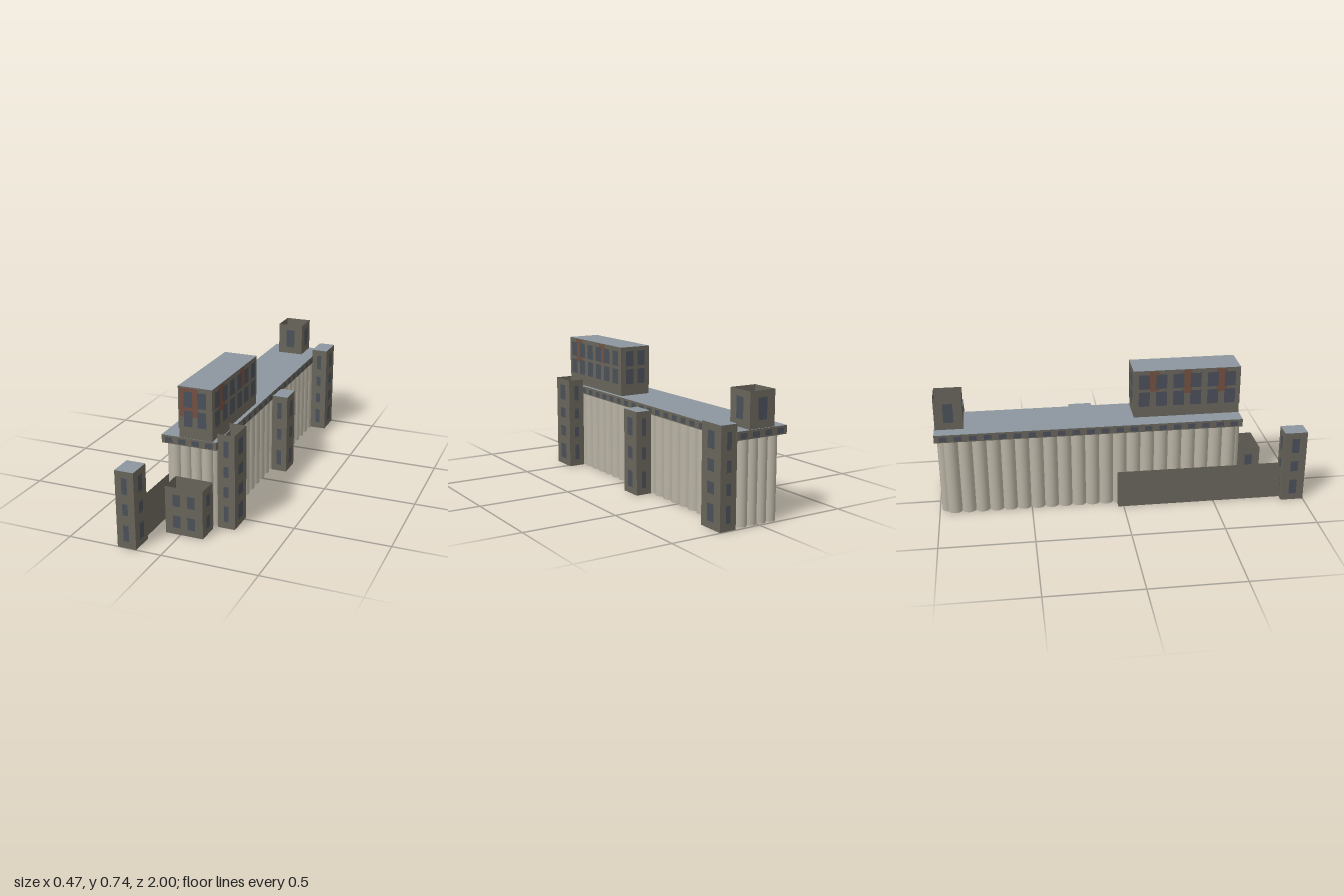
import * as THREE from 'three';
import { mergeGeometries } from 'three/addons/utils/BufferGeometryUtils.js';

const mat = (name, color, side = THREE.FrontSide) => {
  const m = new THREE.MeshStandardMaterial({ color, side });
  m.name = name;
  return m;
};

export function createModel() {
  const root = new THREE.Group();
  root.name = 'grainElevator';
  const wall = mat('weatheredWall', 0x67645a, THREE.DoubleSide);
  const roof = mat('blueGreyRoof', 0x8c969e, THREE.DoubleSide);
  const glass = mat('darkWindow', 0x4a4f58);
  const concrete = mat('paleConcrete', 0xb8b2a3);
  const rust = mat('rustStain', 0x735040);

  const add = (parent, name, geometry, material) => {
    const mesh = new THREE.Mesh(geometry, material);
    mesh.name = name;
    parent.add(mesh);
    return mesh;
  };

  // Four walls with no top or bottom, plus an optional flat roof
  function building(name, [x0, x1], [y0, y1], [z0, z1], roofed) {
    const w = x1 - x0, h = y1 - y0, d = z1 - z0;
    const group = new THREE.Group();
    group.name = name;
    group.position.set((x0 + x1) / 2, y0, (z0 + z1) / 2);
    root.add(group);
    const shell = new THREE.BoxGeometry(w, h, d).translate(0, h / 2, 0);
    const index = Array.from(shell.index.array);
    shell.setIndex([...index.slice(0, 12), ...index.slice(24)]);
    shell.clearGroups();
    add(group, name + 'Walls', shell, wall);
    if (roofed) {
      add(group, name + 'Roof', new THREE.PlaneGeometry(w, d).rotateX(-Math.PI / 2).translate(0, h, 0), roof);
    }
    return { group, w, d, y0, name };
  }

  // A flat panel on side 0 front, 1 right, 2 back, 3 left; u runs along the wall
  function panel(b, side, u, width, [low, high], offset) {
    const out = (side % 2 ? b.w : b.d) / 2 + offset;
    return new THREE.PlaneGeometry(width, high - low)
      .translate(u, (low + high) / 2 - b.y0, out)
      .rotateY(side * Math.PI / 2);
  }

  // Rows of windows on all four sides: [columns, pitch, width] for ends and for flanks
  function windows(b, rows, ends, flanks, offset = 0.002) {
    const list = [];
    for (let side = 0; side < 4; side++) {
      const [count, pitch, width] = side % 2 ? flanks : ends;
      for (let i = 0; i < count; i++) {
        for (const row of rows) list.push(panel(b, side, (i - (count - 1) / 2) * pitch, width, row, offset));
      }
    }
    add(b.group, b.name + 'Windows', mergeGeometries(list), glass);
  }

  // Silo block: core box wrapped by side and end rows of cylinders
  const siloTop = 0.43, cx = -0.004, cz = -0.168;
  const silos = new THREE.Group();
  silos.name = 'silos';
  root.add(silos);
  add(silos, 'siloCore', new THREE.BoxGeometry(0.212, siloTop, 1.58).translate(cx, siloTop / 2, cz), concrete);
  const sideSilo = new THREE.CylinderGeometry(0.039, 0.039, siloTop, 20).translate(0, siloTop / 2, 0);
  const endSilo = new THREE.CylinderGeometry(0.031, 0.031, siloTop, 20).translate(0, siloTop / 2, 0);
  for (const s of [-1, 1]) {
    for (let i = -10; i <= 10; i++) {
      add(silos, 'sideSilo', sideSilo, concrete).position.set(cx + s * 0.105, 0, cz + 0.004 + i * 0.0752);
    }
    for (let i = 0; i < 4; i++) {
      add(silos, 'endSilo', endSilo, concrete).position.set(cx + (i - 1.5) * 0.0575, 0, cz + s * 0.789);
    }
  }

  // Long gallery slab over the silos
  const gallery = building('gallery', [-0.152, 0.143], [0.427, 0.47], [-1, 0.655], true);
  add(gallery.group, 'galleryUnderside', new THREE.PlaneGeometry(0.295, 1.655).rotateX(Math.PI / 2), wall);
  windows(gallery, [[0.433, 0.46]], [4, 0.0727, 0.041], [21, 0.078, 0.041]);

  // Head house on the gallery, set on a slightly narrower base
  building('headHouseBase', [-0.055, 0.122], [0.47, 0.525], [0.072, 0.653], false);
  const head = building('headHouse', [-0.057, 0.124], [0.52, 0.738], [0.07, 0.655], true);
  windows(head, [[0.533, 0.616], [0.633, 0.715]], [2, 0.073, 0.046], [6, 0.094, 0.06], 0.003);
  const stains = [
    panel(head, 0, -0.0335, 0.098, [0.583, 0.731], 0.0015),
    panel(head, 1, -0.18, 0.075, [0.6, 0.733], 0.0015),
    panel(head, 1, 0.085, 0.065, [0.63, 0.733], 0.0015),
    panel(head, 3, -0.18, 0.05, [0.62, 0.733], 0.0015),
    panel(head, 3, 0, 0.05, [0.6, 0.733], 0.0015),
    panel(head, 3, 0.19, 0.06, [0.6, 0.733], 0.0015),
  ];
  add(head.group, 'rustStains', mergeGeometries(stains), rust);

  // Open-topped rear hopper house
  const hopper = building('rearHopperHouse', [-0.08, 0.067], [0.47, 0.65], [-0.995, -0.845], false);
  windows(hopper, [[0.51, 0.617]], [1, 0, 0.052], [1, 0, 0.053]);

  // Towers along the left flank and the detached front tower
  const fourFloors = [[0.037, 0.124], [0.172, 0.23], [0.281, 0.339], [0.388, 0.474]];
  const threeFloors = [[0.037, 0.123], [0.176, 0.236], [0.287, 0.372]];
  const middleFloors = [[0.037, 0.125], [0.19, 0.255], [0.315, 0.41]];
  const towers = [
    ['frontFlankTower', [0.138, 0.23], 0.508, [0.478, 0.63], false, fourFloors, 0.026, 0.059],
    ['middleFlankTower', [0.14, 0.228], 0.447, [-0.26, -0.135], true, middleFloors, 0.026, 0.047],
    ['rearFlankTower', [0.138, 0.23], 0.508, [-0.995, -0.845], true, fourFloors, 0.026, 0.053],
    ['detachedTower', [-0.232, -0.132], 0.406, [0.875, 1], true, threeFloors, 0.03, 0.042],
  ];
  for (const [name, x, height, z, roofed, rows, endWidth, flankWidth] of towers) {
    windows(building(name, x, [0, height], z, roofed), rows, [1, 0, endWidth], [1, 0, flankWidth]);
  }

  // Open-topped front annex
  const annex = building('frontAnnex', [-0.08, 0.122], [0, 0.255], [0.655, 0.78], false);
  windows(annex, [[0.037, 0.103], [0.154, 0.218]], [2, 0.078, 0.041], [1, 0, 0.042]);

  // Long low conveyor wall
  building('conveyorWall', [-0.19, -0.148], [0, 0.19], [-0.03, 0.875], false);

  return root;
}
